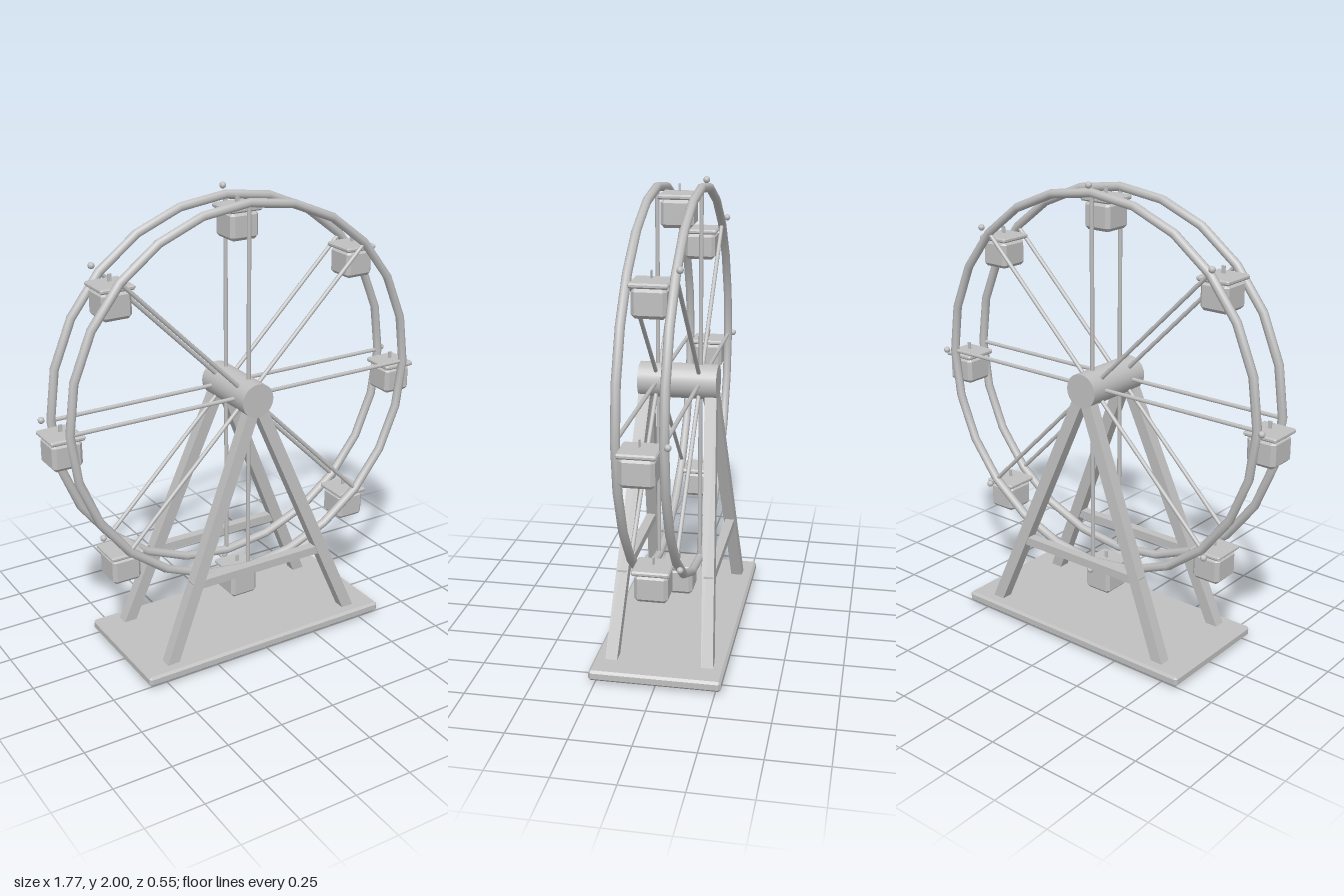
import * as THREE from 'three';
import { ConvexGeometry } from 'three/addons/geometries/ConvexGeometry.js';

const HUB_Y = 1.143, RIM_R = 0.81, RIM_Z = 0.091, CARS = 8;
const grey = new THREE.MeshStandardMaterial({ color: 0xc0c0c0 });
grey.name = 'grey';

function add(parent, name, geometry, x = 0, y = 0, z = 0) {
  const mesh = new THREE.Mesh(geometry, grey);
  mesh.name = name;
  mesh.position.set(x, y, z);
  parent.add(mesh);
  return mesh;
}

// Box with all edges cut at 45 degrees
function chamferBox(w, h, d, c) {
  const points = [];
  for (const sx of [-0.5, 0.5]) for (const sy of [-0.5, 0.5]) for (const sz of [-0.5, 0.5]) {
    const p = new THREE.Vector3(sx * w, sy * h, sz * d);
    for (const axis of ['x', 'y', 'z']) {
      const q = p.clone();
      for (const other of ['x', 'y', 'z']) if (other !== axis) q[other] -= Math.sign(q[other]) * c;
      points.push(q);
    }
  }
  return new ConvexGeometry(points);
}

// Places a geometry whose length runs along y between two points
function between(parent, name, a, b, makeGeometry) {
  const dir = b.clone().sub(a);
  const mid = a.clone().add(b).multiplyScalar(0.5);
  const mesh = add(parent, name, makeGeometry(dir.length()), mid.x, mid.y, mid.z);
  mesh.quaternion.setFromUnitVectors(new THREE.Vector3(0, 1, 0), dir.normalize());
  return mesh;
}

function makeCar() {
  const car = new THREE.Group();
  car.name = 'passengerCar';
  add(car, 'hangerPin', new THREE.BoxGeometry(0.016, 0.03, 0.006));
  add(car, 'carRoof', chamferBox(0.148, 0.02, 0.154, 0.006), 0, -0.031);
  add(car, 'carBody', chamferBox(0.13, 0.117, 0.136, 0.015), 0, -0.0985);
  return car;
}

export function createModel() {
  const model = new THREE.Group();
  model.name = 'ferrisWheel';

  // Base plate
  add(model, 'base', chamferBox(1.18, 0.045, 0.55, 0.01), 0, 0.0375);

  // A-frame supports, front and back
  for (const side of [1, -1]) {
    for (const s of [1, -1]) {
      between(model, 'supportLeg',
        new THREE.Vector3(s * 0.472, 0.012, side * 0.204),
        new THREE.Vector3(0, HUB_Y, side * 0.138),
        (len) => new THREE.BoxGeometry(0.052, len, 0.05));
    }
    add(model, 'crossBar', new THREE.BoxGeometry(0.68, 0.037, 0.04), 0, 0.385, side * 0.184);
  }

  // Wheel: hub, rims, spokes, lamps
  const wheel = new THREE.Group();
  wheel.name = 'wheel';
  wheel.position.y = HUB_Y;
  model.add(wheel);
  add(wheel, 'hub', new THREE.CylinderGeometry(0.074, 0.074, 0.334, 24).rotateX(Math.PI / 2));
  for (const side of [1, -1]) {
    add(wheel, 'rim', new THREE.TorusGeometry(RIM_R, 0.019, 8, 24), 0, 0, side * RIM_Z);
  }

  for (let i = 0; i < CARS; i++) {
    const a = (i / CARS) * Math.PI * 2;
    const cx = Math.cos(a), cy = Math.sin(a);
    for (const side of [1, -1]) {
      between(wheel, 'spoke',
        new THREE.Vector3(0, 0, side * RIM_Z),
        new THREE.Vector3(cx * RIM_R, cy * RIM_R, side * RIM_Z),
        (len) => new THREE.CylinderGeometry(0.009, 0.009, len, 8));
    }
    add(wheel, 'lamp', new THREE.SphereGeometry(0.014, 10, 8), cx * 0.843, cy * 0.843, -0.111);

    // Cars always hang upright
    const car = makeCar();
    car.position.set(cx * RIM_R, cy * RIM_R, 0);
    wheel.add(car);
  }
  return model;
}
